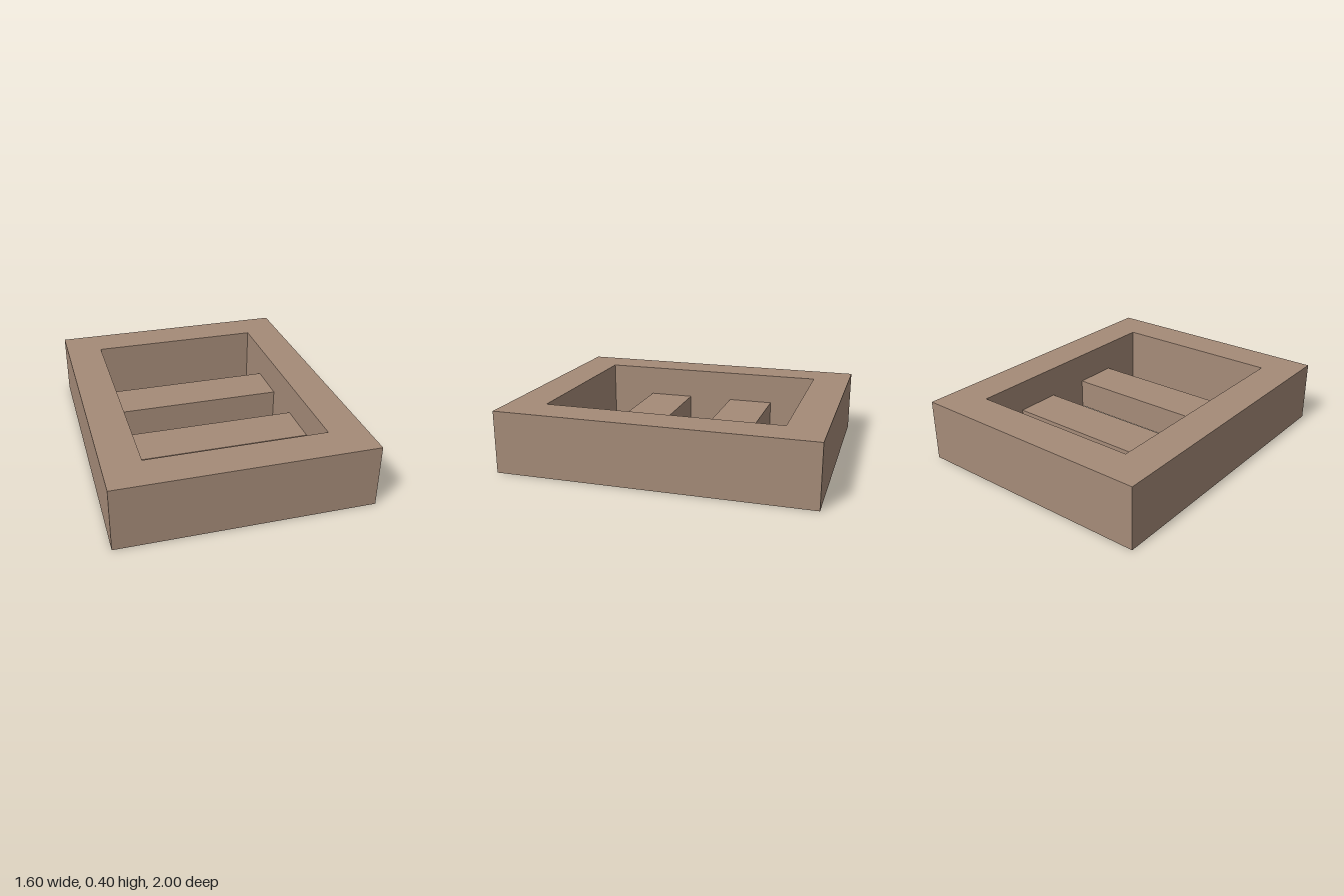
import * as THREE from 'three';

export function createModel() {
  const group = new THREE.Group();
  group.name = 'slottedTray';
  const wood = new THREE.MeshStandardMaterial({ color: 0xa58b78 });
  wood.name = 'brown wood';

  const height = 0.4, innerX = 0.565, innerZ = 0.758;
  const barHeight = 0.2, barDepth = 0.303, barZ = 0.303;

  const corners = (x, z) => [[-x, -z], [x, -z], [x, z], [-x, z]].map(([a, b]) => new THREE.Vector2(a, b));

  // Rectangular frame, open through the middle
  const outline = new THREE.Shape(corners(0.8, 1));
  outline.holes.push(new THREE.Path(corners(innerX, innerZ).reverse()));
  const frameGeometry = new THREE.ExtrudeGeometry(outline, { depth: height, bevelEnabled: false });
  frameGeometry.rotateX(-Math.PI / 2);
  const frame = new THREE.Mesh(frameGeometry, wood);
  frame.name = 'frame';
  group.add(frame);

  // Two half-height cross bars, flush with the underside
  for (const [name, side] of [['frontCrossBar', 1], ['backCrossBar', -1]]) {
    const bar = new THREE.Mesh(new THREE.BoxGeometry(innerX * 2, barHeight, barDepth), wood);
    bar.position.set(0, barHeight / 2, side * barZ);
    bar.name = name;
    group.add(bar);
  }
  return group;
}
